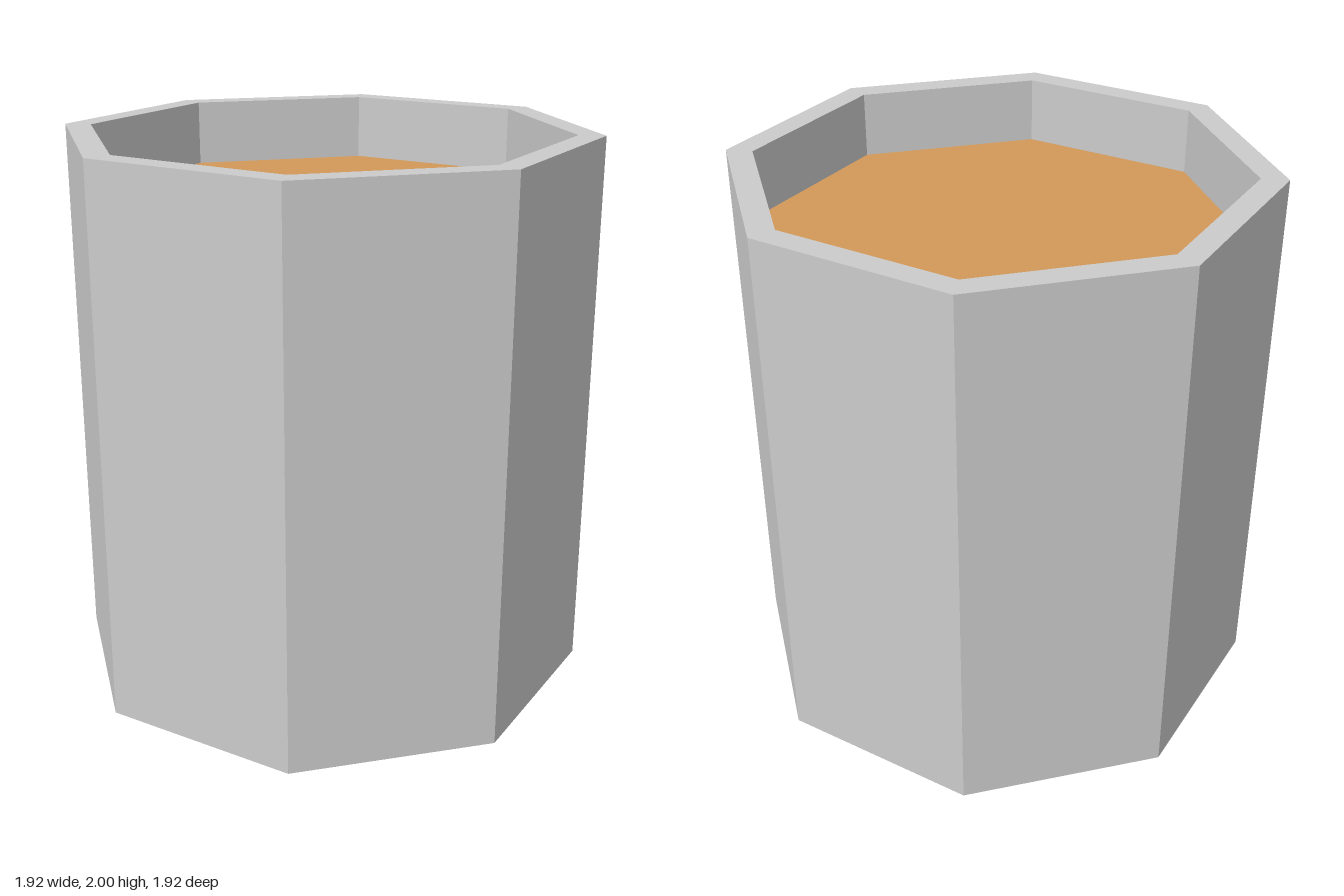
import * as THREE from 'three';

const SIDES = 8;
const OUTER = 0.96;
const INNER = 0.865;
const HEIGHT = 2;
const FILL_Y = 1.76;

export function createModel() {
  const group = new THREE.Group();
  group.name = 'filledPot';

  // Octagonal pot: underside, outer wall, rim and inner wall as one profile
  const profile = [
    [0, 0], [OUTER, 0], [OUTER, HEIGHT], [INNER, HEIGHT], [INNER, FILL_Y],
  ].map(([r, y]) => new THREE.Vector2(r, y));
  const pot = new THREE.Mesh(
    new THREE.LatheGeometry(profile, SIDES),
    new THREE.MeshStandardMaterial({ color: 0xcccccc, flatShading: true }),
  );
  pot.name = 'pot';
  group.add(pot);

  // Flat surface of the contents, sunk below the rim
  const contents = new THREE.Mesh(
    new THREE.CircleGeometry(INNER, SIDES).rotateX(-Math.PI / 2),
    new THREE.MeshStandardMaterial({ color: 0xd2995a, flatShading: true }),
  );
  contents.name = 'contents';
  contents.position.y = FILL_Y;
  group.add(contents);

  return group;
}
